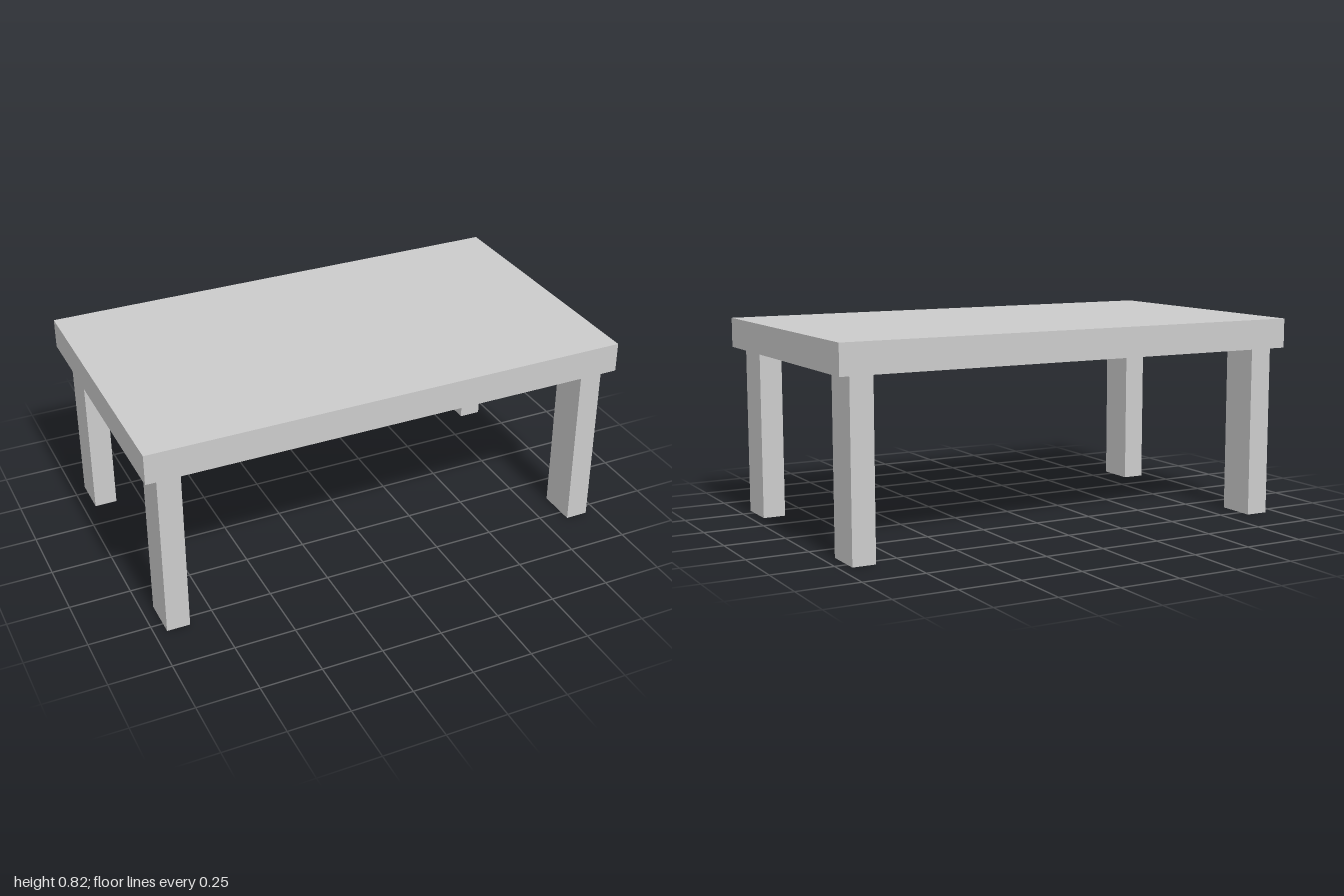
import * as THREE from 'three';

export function createModel() {
  const table = new THREE.Group();
  table.name = 'table';
  const material = new THREE.MeshStandardMaterial({ color: 0xcccccc, flatShading: true });

  const height = 0.825, topThickness = 0.122;
  const legHeight = height - topThickness;

  const addBox = (name, size, position) => {
    const mesh = new THREE.Mesh(new THREE.BoxGeometry(...size), material);
    mesh.name = name;
    mesh.position.set(...position);
    table.add(mesh);
  };

  // Slab top
  addBox('tableTop', [2, topThickness, 1.152], [0, height - topThickness / 2, 0]);

  // Four rectangular legs, deeper than they are wide
  for (const [side, x] of [['Left', 0.903], ['Right', -0.903]]) {
    for (const [end, z] of [['front', 0.466], ['back', -0.466]]) {
      addBox(`${end}${side}Leg`, [0.094, legHeight, 0.165], [x, legHeight / 2, z]);
    }
  }

  return table;
}
